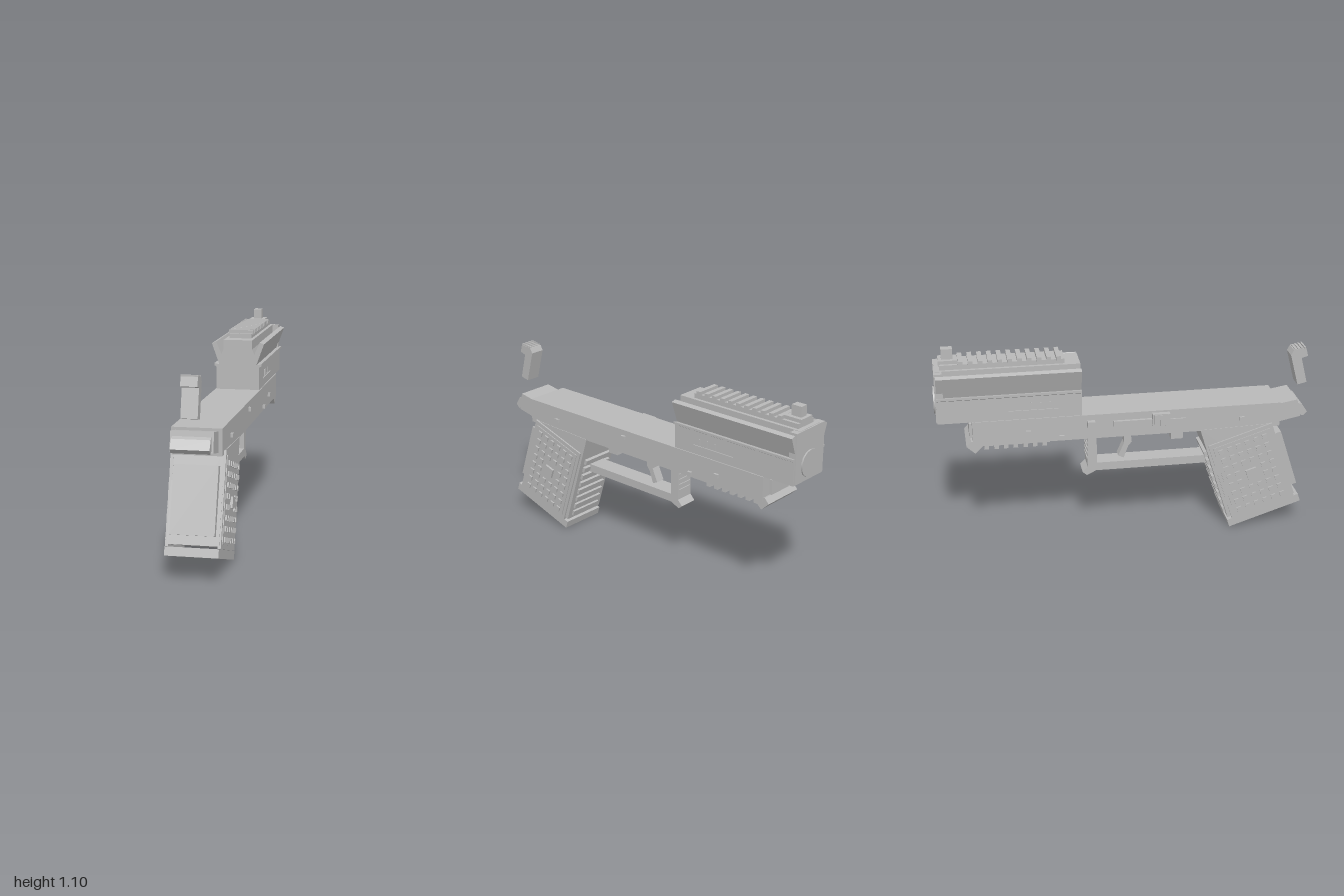
import * as THREE from 'three';

export function createModel() {
  const model = new THREE.Group();
  const gray = new THREE.MeshStandardMaterial({ color: 0xb8b8b8 });
  gray.name = 'plain gray';

  function add(name, geometry, parent = model) {
    const mesh = new THREE.Mesh(geometry, gray);
    mesh.name = name;
    parent.add(mesh);
    return mesh;
  }
  // Box given by its limits on each axis
  function box(name, x0, x1, y0, y1, z0, z1, parent = model) {
    const g = new THREE.BoxGeometry(x1 - x0, y1 - y0, z1 - z0);
    g.translate((x0 + x1) / 2, (y0 + y1) / 2, (z0 + z1) / 2);
    return add(name, g, parent);
  }
  // Side outline of [z, y] points, extruded across the width
  function sidePrism(name, points, half) {
    const shape = new THREE.Shape(points.map(([z, y]) => new THREE.Vector2(-z, y)));
    const g = new THREE.ExtrudeGeometry(shape, { depth: half * 2, bevelEnabled: false });
    g.translate(0, 0, -half);
    g.rotateY(Math.PI / 2);
    return add(name, g);
  }

  // Frame
  box('frame', -0.125, 0.125, 0.595, 0.73, -0.81, 0.835);
  box('frameNose', -0.07, 0.07, 0.62, 0.7, -0.825, -0.81);
  sidePrism('noseLip', [[-0.75, 0.6], [-0.82, 0.62], [-0.845, 0.592], [-0.8, 0.55]], 0.12);

  // Tail block and its rear knob
  sidePrism('tailBlock', [[0.935, 0.733], [0.83, 0.715], [0.83, 0.61], [0.955, 0.635]], 0.105);
  sidePrism('tailKnob', [[0.965, 0.7], [0.935, 0.71], [0.94, 0.645], [0.975, 0.633], [0.995, 0.655]], 0.095);

  // Slide: half cross-section mirrored, with flared fins along both sides
  const half = [[0.12, 0.73], [0.12, 0.855], [0.132, 0.862], [0.132, 0.874], [0.104, 0.868],
    [0.146, 0.985], [0.122, 0.994], [0.092, 0.925], [0.08, 0.955], [0.08, 1.005]];
  const outline = half.concat(half.slice().reverse().map(([x, y]) => [-x, y]));
  const slideGeo = new THREE.ExtrudeGeometry(
    new THREE.Shape(outline.map(([x, y]) => new THREE.Vector2(x, y))), { depth: 0.75, bevelEnabled: false });
  slideGeo.translate(0, 0, -0.985);
  add('slide', slideGeo);
  box('muzzleBlock', -0.115, 0.115, 0.735, 1.003, -0.992, -0.95);
  const disc = new THREE.CylinderGeometry(0.072, 0.072, 0.01, 14);
  disc.rotateX(Math.PI / 2);
  disc.translate(0, 0.82, -0.995);
  add('muzzleDisc', disc);

  // Low relief strips on the slide sides
  for (const s of [-1, 1]) {
    const strip = (name, y0, y1, z0, z1) =>
      box(name, Math.min(s * 0.118, s * 0.125), Math.max(s * 0.118, s * 0.125), y0, y1, z0, z1);
    for (let i = 0; i < 3; i++) strip('slideSlot', 0.785, 0.82, -0.405 - i * 0.05, -0.397 - i * 0.05);
    strip('slideLine', 0.775, 0.78, -0.62, -0.36);
  }

  // Top rail, ribs and front sight
  box('railBase', -0.062, 0.062, 1.0, 1.03, -0.96, -0.315);
  for (let i = 0; i < 11; i++) {
    const z = -0.335 - i * 0.0505;
    box('railRib', -0.07, 0.07, 1.025, 1.048, z - 0.024, z);
  }
  box('frontSightBase', -0.045, 0.045, 1.028, 1.048, -0.965, -0.865);
  box('frontSight', -0.022, 0.022, 1.04, 1.103, -0.947, -0.888);

  // Raised rear sight with a notched top
  sidePrism('rearSight', [[1.0, 0.955], [0.988, 1.0], [0.92, 0.993], [0.905, 0.965],
    [0.95, 0.793], [1.0, 0.805], [0.965, 0.945]], 0.041);
  for (let i = 0; i < 4; i++) {
    const z = 0.925 + i * 0.017;
    box('rearSightTooth', -0.041, 0.041, 0.985, 0.998 + i * 0.003, z, z + 0.009);
  }

  // Accessory rail under the nose
  box('underRail', -0.085, 0.085, 0.573, 0.6, -0.75, -0.405);
  for (let i = 0; i < 7; i++) {
    const z = -0.42 - i * 0.051;
    box('underRib', -0.085, 0.085, 0.553, 0.58, z - 0.024, z);
  }

  // Guard, lever and the small block behind it
  box('guardBar', -0.052, 0.052, 0.37, 0.415, -0.19, 0.47);
  box('guardPost', -0.052, 0.052, 0.38, 0.6, -0.2, -0.15);
  for (let i = 0; i < 5; i++) box('guardPostRib', -0.045, 0.045, 0.44 + i * 0.03, 0.452 + i * 0.03, -0.206, -0.195);
  sidePrism('guardLip', [[-0.15, 0.372], [-0.19, 0.405], [-0.228, 0.365], [-0.205, 0.345]], 0.052);
  sidePrism('lever', [[0.035, 0.6], [0.0, 0.6], [0.003, 0.51], [-0.03, 0.437], [0.0, 0.422],
    [0.025, 0.49], [0.045, 0.515]], 0.026);
  box('rearBlock', -0.03, 0.03, 0.515, 0.58, 0.26, 0.325);

  // Side pins
  for (const [z, y] of [[0.625, 0.655], [0.12, 0.69], [-0.345, 0.617], [-0.52, 0.655]]) {
    box('pinRight', 0.12, 0.138, y - 0.01, y + 0.01, z - 0.013, z + 0.013);
    if (z !== 0.12) box('pinLeft', -0.138, -0.12, y - 0.01, y + 0.01, z - 0.013, z + 0.013);
  }

  // Catch lever and stud on one side
  box('catchStud', -0.155, -0.12, 0.665, 0.7, -0.21, -0.17);
  box('catchBar', -0.142, -0.12, 0.66, 0.69, -0.07, 0.14);
  box('catchPad', -0.153, -0.12, 0.65, 0.72, 0.135, 0.23);
  for (let i = 0; i < 3; i++) box('catchPadRib', -0.157, -0.15, 0.655, 0.715, 0.145 + i * 0.03, 0.16 + i * 0.03);
  box('catchTail', -0.133, -0.12, 0.64, 0.68, 0.23, 0.32);

  // Handle body
  sidePrism('handleBody', [[0.79, 0.612], [0.4, 0.6], [0.567, 0.06], [0.94, 0.18]], 0.128);

  // Tilted handle fittings
  const handle = new THREE.Group();
  handle.name = 'handleFittings';
  handle.position.set(0, 0.334, 0.689);
  handle.rotation.x = -Math.PI / 10;
  model.add(handle);
  box('basePlate', -0.132, 0.132, -0.28, -0.236, -0.208, 0.21, handle);
  box('backStrap', -0.11, 0.11, -0.178, 0.158, 0.15, 0.222, handle);
  for (let i = 0; i < 8; i++) {
    const y = -0.2 + i * 0.052;
    box('frontRidge', -0.1, 0.1, y, y + 0.03, -0.212, -0.17, handle);
  }
  for (const s of [-1, 1]) {
    const plate = (name, out, y0, y1, z0, z1) =>
      box(name, Math.min(s * 0.12, s * out), Math.max(s * 0.12, s * out), y0, y1, z0, z1, handle);
    plate('sidePanel', 0.136, -0.235, 0.238, -0.18, 0.185);
    plate('sidePanelFace', 0.14, -0.212, 0.215, -0.16, 0.165);
    for (let r = 0; r < 8; r++) {
      for (let c = 0; c < 6; c++) {
        if ((r === 3 || r === 4) && (c === 2 || c === 3)) continue;
        const y = 0.182 - r * 0.053, z = 0.125 - c * 0.05;
        plate('gripStud', 0.148, y - 0.013, y + 0.013, z - 0.013, z + 0.013);
      }
    }
    plate('gripCenter', 0.153, -0.03, 0.025, -0.03, 0.03);
  }
  return model;
}
